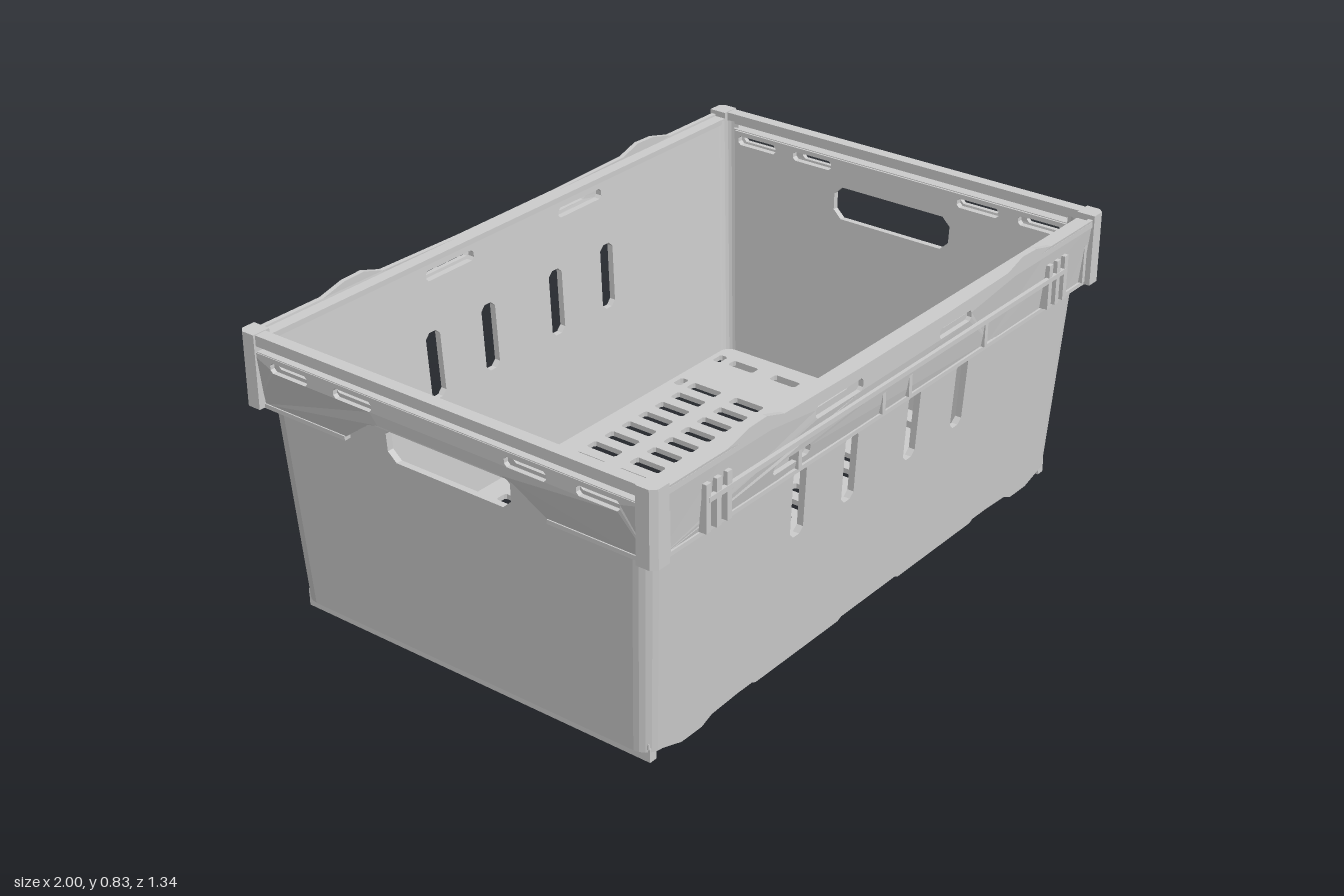
import * as THREE from 'three';

const mat = new THREE.MeshStandardMaterial({ color: 0xcccccc, flatShading: true, side: THREE.DoubleSide });

function add(group, name, geo) {
  const m = new THREE.Mesh(geo, mat);
  m.name = name;
  group.add(m);
  return m;
}

// Rectangle with chamfered corners, centred on (cx, cy)
function slot(cx, cy, w, h, c = 0.008) {
  const a = w / 2, b = h / 2;
  return new THREE.Path([
    [-a + c, -b], [a - c, -b], [a, -b + c], [a, b - c], [a - c, b], [-a + c, b], [-a, b - c], [-a, -b + c],
  ].map(([x, y]) => new THREE.Vector2(cx + x, cy + y)));
}

// Flat panel whose outer face lies at z = 0
function panel(points, holes, depth) {
  const s = new THREE.Shape(points.map(([x, y]) => new THREE.Vector2(x, y)));
  s.holes.push(...holes);
  return new THREE.ExtrudeGeometry(s, { depth, bevelEnabled: false }).translate(0, 0, -depth);
}

const rect = (w, y0, y1) => [[-w, y0], [w, y0], [w, y1], [-w, y1]];

// The left half of an outline is mirrored from its right half
const mirrored = half => [...half, ...half.slice().reverse().filter(p => p[0] !== 0).map(([x, y]) => [-x, y])];

// Walls lean outward as they rise
function taper(geo) {
  const p = geo.attributes.position;
  for (let i = 0; i < p.count; i++) {
    const y = p.getY(i);
    p.setX(i, p.getX(i) * (1 + 0.06 * y));
    p.setZ(i, p.getZ(i) * (1 + 0.1 * y));
  }
  geo.computeVertexNormals();
  return geo;
}

// The skirt flares from the wall to its full reach at mid height
function flare(geo, amount) {
  const p = geo.attributes.position;
  for (let i = 0; i < p.count; i++) {
    const t = Math.max(0, (0.71 - p.getY(i)) / 0.1);
    p.setZ(i, p.getZ(i) - amount * Math.min(1, t));
  }
  geo.computeVertexNormals();
  return geo;
}

const X = 0.925, Z = 0.588, R = 0.05, T = 0.018;

function buildWalls(root) {
  const walls = new THREE.Group();
  walls.name = 'walls';
  root.add(walls);
  const longHoles = () => [
    ...[-0.36, -0.145, 0.13, 0.35].map(x => slot(x, 0.495, 0.054, 0.2, 0.015)),
    ...[-0.27, 0.25].map(x => slot(x, 0.755, 0.18, 0.03)),
  ];
  const sideHoles = () => [
    slot(0, 0.64, 0.38, 0.1, 0.025),
    ...[-0.46, -0.27, 0.27, 0.46].map(x => slot(x, 0.745, 0.13, 0.028)),
  ];
  // Lower edge of the long walls has feet near the ends and shallow steps
  const longEdge = mirrored([
    [0, 0.03], [0.12, 0.03], [0.14, 0.02], [0.5, 0.02], [0.52, 0.03], [0.68, 0.022],
    [0.72, 0.005], [0.8, 0.005], [X - R, 0.03], [X - R, 0.8],
  ]);
  for (const s of [0, 1]) {
    const front = panel(longEdge, longHoles(), T).translate(0, 0, Z);
    if (s) front.scale(1, 1, -1).index;
    add(walls, s ? 'backWall' : 'frontWall', taper(front));
    const side = panel(rect(Z - R, 0.03, 0.772), sideHoles(), T)
      .translate(0, 0, X).rotateY(s ? -Math.PI / 2 : Math.PI / 2);
    add(walls, s ? 'rightWall' : 'leftWall', taper(side));
  }
  // Rounded upright corners
  for (const sx of [1, -1]) for (const sz of [1, -1]) {
    const start = sx > 0 ? (sz > 0 ? 0 : Math.PI / 2) : (sz > 0 ? -Math.PI / 2 : Math.PI);
    for (const r of [R, R - T]) {
      const g = new THREE.CylinderGeometry(r, r, 0.77, 5, 1, true, start, Math.PI / 2)
        .translate(sx * (X - R), 0.415, sz * (Z - R));
      add(walls, 'wallCorner', taper(g));
    }
  }
}

function buildFloor(root) {
  const holes = [];
  // Six rows of drain slots in a central field, with one extra column at each end
  for (const z of [-0.455, -0.315, -0.16, 0.14, 0.29, 0.45]) {
    for (let i = -8; i <= 8; i++) holes.push(slot(i * 0.079, z, 0.04, 0.108, 0.006));
    for (const x of [-0.83, 0.83]) holes.push(slot(x, z, 0.035, 0.095, 0.006));
  }
  for (const x of [-0.83, -0.632, 0.632, 0.83]) holes.push(slot(x, 0, 0.045, 0.03));
  for (const x of [-0.83, -0.632, 0, 0.632, 0.83])
    for (const z of [-0.54, 0.54]) holes.push(slot(x, z, 0.045, 0.028, 0.006));
  const g = panel(rect(X - 0.01, -Z + 0.01, Z - 0.01), holes, 0.016).rotateX(-Math.PI / 2).translate(0, 0.055, 0);
  add(root, 'floor', g);

  // Rails under the floor
  const rails = new THREE.Group();
  rails.name = 'baseRails';
  root.add(rails);
  const box = (w, h, d, x, y, z) => add(rails, 'baseRail', new THREE.BoxGeometry(w, h, d).translate(x, y, z));
  for (const s of [1, -1]) {
    box(0.025, 0.04, 1.16, s * 0.9, 0.022, 0);
    box(0.06, 0.035, 1.12, s * 0.73, 0.0235, 0);
    box(1.4, 0.025, 0.022, 0, 0.03, s * 0.57);
    box(1.4, 0.015, 0.03, 0, 0.034, s * 0.235);
  }
}

function buildRim(root) {
  const rim = new THREE.Group();
  rim.name = 'rim';
  root.add(rim);

  // Long skirts: a gently stepped band with two raised tabs on top
  const longOutline = mirrored([
    [0, 0.612], [0.2, 0.622], [0.45, 0.625], [0.68, 0.61], [0.85, 0.608], [0.975, 0.612],
    [0.975, 0.81], [0.72, 0.81], [0.64, 0.83], [0.57, 0.832], [0.5, 0.81], [0, 0.8],
  ]);
  // Side skirts: the lower edge lifts over the hand hole
  const sideOutline = mirrored([
    [0, 0.7], [0.2, 0.7], [0.235, 0.69], [0.33, 0.62], [0.645, 0.612], [0.645, 0.772],
  ]);
  for (const s of [0, 1]) {
    const long = new THREE.Group(), side = new THREE.Group();
    long.name = s ? 'backRim' : 'frontRim';
    side.name = s ? 'rightRim' : 'leftRim';
    long.rotation.y = s * Math.PI;
    side.rotation.y = Math.PI / 2 + s * Math.PI;
    rim.add(long, side);
    const box = (grp, name, w, h, d, x, y, z) => add(grp, name, new THREE.BoxGeometry(w, h, d).translate(x, y, z));

    const k = s ? -1 : 1;
    const longSlots = [slot(-0.27 * k, 0.755, 0.2, 0.035), slot(0.25 * k, 0.755, 0.15, 0.03), slot(-0.45 * k, 0.66, 0.15, 0.03)];
    add(long, 'longSkirt', flare(panel(longOutline, longSlots, 0.014).translate(0, 0, 0.663), 0.022));
    box(long, 'longLip', 1.94, 0.016, 0.05, 0, 0.796, 0.638);
    box(long, 'skirtLedge', 1.94, 0.012, 0.03, 0, 0.616, 0.634);
    box(long, 'skirtRidge', 1.6, 0.014, 0.012, 0, 0.712, 0.665);
    // Upright ribs tie the skirt to the wall, with a cluster near each end
    for (const x of [0.06, 0.42, 0.72, 0.76, 0.8, 0.93]) for (const m of [1, -1])
      box(long, 'rimRib', 0.014, 0.17, 0.03, m * x, 0.708, 0.64);
    for (const x of [0.72, 0.76, 0.8]) for (const m of [1, -1])
      box(long, 'gripRib', 0.018, 0.13, 0.014, m * x, 0.69, 0.662);

    const sideSlots = [-0.5, -0.28, 0.28, 0.5].map(x => slot(x, 0.745, 0.13, 0.028));
    add(side, 'sideSkirt', flare(panel(sideOutline, sideSlots, 0.014).translate(0, 0, 0.993), 0.02));
    // The lip floats above the skirt, leaving a long narrow gap
    box(side, 'sideLip', 1.28, 0.03, 0.036, 0, 0.805, 0.974);
    box(side, 'skirtShelf', 1.28, 0.012, 0.035, 0, 0.768, 0.973);
    box(side, 'handleHood', 0.42, 0.012, 0.035, 0, 0.702, 0.973);
    for (const m of [1, -1]) {
      box(side, 'skirtLedge', 0.31, 0.012, 0.03, m * 0.485, 0.616, 0.964);
      for (const x of [0.17, 0.385, 0.6]) box(side, 'rimRib', 0.014, 0.07, 0.03, m * x, 0.735, 0.97);
    }
  }
  // Corner posts closing the rim
  const c = 0.025;
  const post = new THREE.Shape([
    [-0.03, -0.03], [c, -0.03], [c, 0.01], [0.01, c], [-0.03, c],
  ].map(([x, y]) => new THREE.Vector2(x, y)));
  for (const sx of [1, -1]) for (const sz of [1, -1]) {
    const g = new THREE.ExtrudeGeometry(post, { depth: 0.21, bevelEnabled: false })
      .rotateX(-Math.PI / 2).scale(1, 1, -1).translate(0.973, 0.612, 0.643);
    add(rim, 'rimCorner', g.scale(sx, 1, sz));
  }
}

export function createModel() {
  const root = new THREE.Group();
  root.name = 'storageCrate';
  buildWalls(root);
  buildFloor(root);
  buildRim(root);
  // Mirrored parts need their triangle winding turned back
  root.traverse(o => {
    if (!o.isMesh) return;
    const g = o.geometry, p = g.attributes.position, a = new THREE.Vector3(), b = new THREE.Vector3(), d = new THREE.Vector3();
    let volume = 0;
    if (g.index || o.name === 'wallCorner') return;
    for (let i = 0; i < p.count; i += 3) {
      a.fromBufferAttribute(p, i); b.fromBufferAttribute(p, i + 1); d.fromBufferAttribute(p, i + 2);
      volume += a.dot(b.cross(d));
    }
    if (volume >= 0) return;
    for (let i = 0; i < p.count; i += 3) {
      a.fromBufferAttribute(p, i); b.fromBufferAttribute(p, i + 1);
      p.setXYZ(i, b.x, b.y, b.z); p.setXYZ(i + 1, a.x, a.y, a.z);
    }
    g.computeVertexNormals();
  });
  return root;
}
